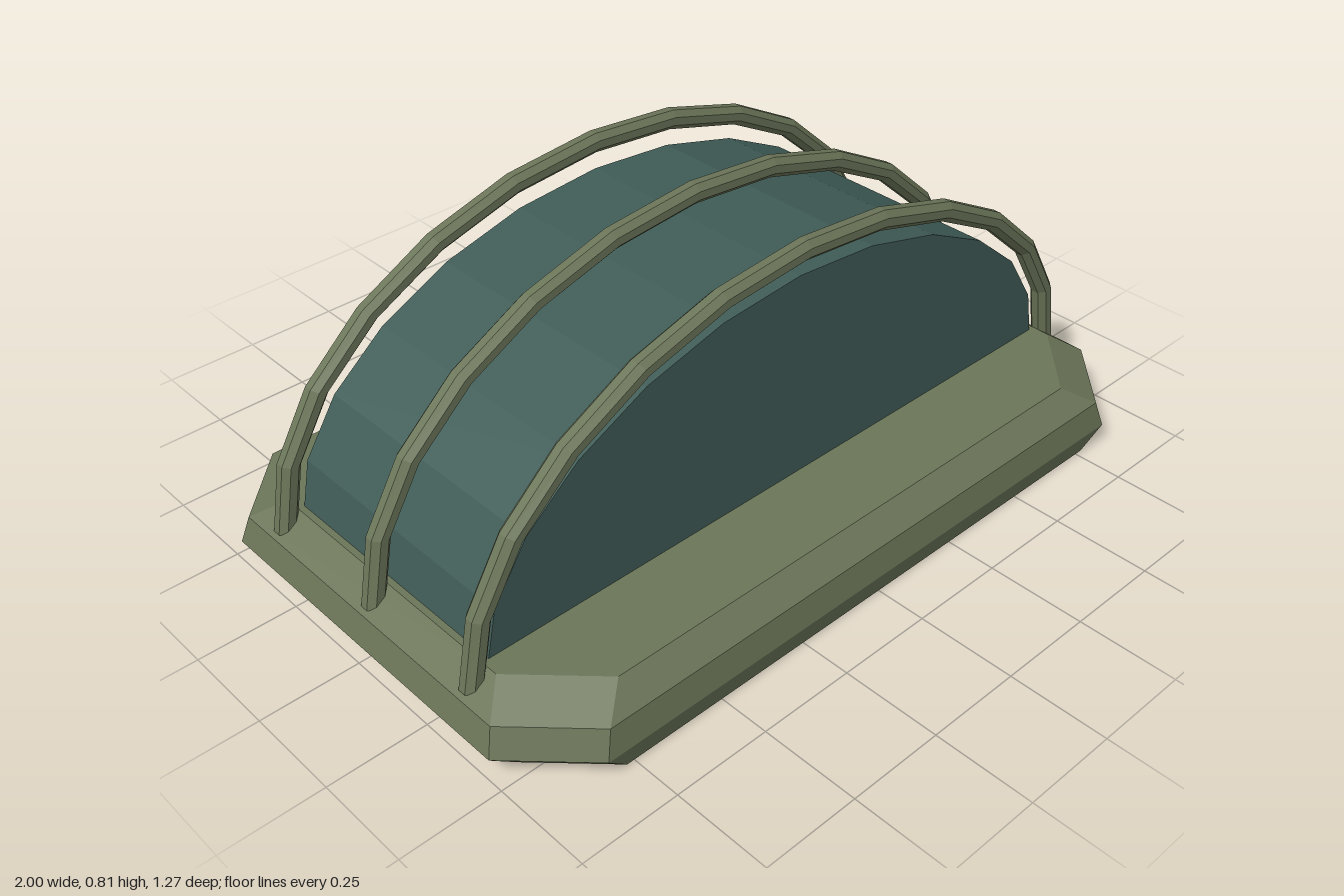
import * as THREE from 'three';

const olive = new THREE.MeshStandardMaterial({ color: 0x6b7558 });
olive.name = 'olive frame';
const teal = new THREE.MeshStandardMaterial({ color: 0x405c57 });
teal.name = 'teal canopy';

// Skins a list of equal-length rings (counter-clockwise against travel) and caps both ends, flat shaded.
function loft(rings) {
  const n = rings[0].length, last = rings.length - 1, pos = [];
  const tri = (a, b, c) => pos.push(...a, ...b, ...c);
  for (let i = 0; i < last; i++) {
    for (let j = 0; j < n; j++) {
      const k = (j + 1) % n;
      tri(rings[i][j], rings[i][k], rings[i + 1][k]);
      tri(rings[i][j], rings[i + 1][k], rings[i + 1][j]);
    }
  }
  for (let j = 1; j < n - 1; j++) {
    tri(rings[0][0], rings[0][j + 1], rings[0][j]);
    tri(rings[last][0], rings[last][j], rings[last][j + 1]);
  }
  const geo = new THREE.BufferGeometry();
  geo.setAttribute('position', new THREE.Float32BufferAttribute(pos, 3));
  geo.computeVertexNormals();
  return geo;
}

// Rectangle with cut corners at height y: half sizes X, Z and corner cut c
function baseRing([y, X, Z, c]) {
  return [
    [X, y, Z - c], [X, y, c - Z], [X - c, y, -Z], [c - X, y, -Z],
    [-X, y, c - Z], [-X, y, Z - c], [c - X, y, Z], [X - c, y, Z],
  ];
}

// Octagonal bar bent over a half ellipse in 15 degree steps
function ribGeometry() {
  const rings = [];
  for (let i = 0; i <= 12; i++) {
    const t = (i / 12 - 0.5) * Math.PI;
    const ring = [];
    for (let j = 0; j < 8; j++) {
      const a = (j + 0.5) * Math.PI / 4;
      const r = 0.027 * Math.cos(a);
      ring.push([(0.945 + r) * Math.sin(t), 0.14 + (0.65 + r) * Math.cos(t), 0.027 * Math.sin(a)]);
    }
    rings.push(ring);
  }
  return loft(rings);
}

// Faceted half-ellipse block
function canopyGeometry(depth) {
  const points = [];
  for (let i = 0; i <= 12; i++) {
    const t = i / 12 * Math.PI;
    points.push(new THREE.Vector2(0.9 * Math.cos(t), 0.15 + 0.57 * Math.sin(t)));
  }
  const geo = new THREE.ExtrudeGeometry(new THREE.Shape(points), { depth, bevelEnabled: false });
  return geo.translate(0, 0, -depth / 2);
}

export function createModel() {
  const model = new THREE.Group();
  model.name = 'ribbedSkylight';
  const add = (name, geo, mat, z = 0) => {
    const mesh = new THREE.Mesh(geo, mat);
    mesh.name = name;
    mesh.position.z = z;
    model.add(mesh);
  };

  // Bevelled base slab
  add('base', loft([
    [0, 0.93, 0.62, 0.16],
    [0.06, 1, 0.635, 0.17],
    [0.13, 0.98, 0.62, 0.17],
    [0.18, 0.91, 0.56, 0.175],
  ].map(baseRing)), olive);

  // Canopy and the three arches over it
  add('canopy', canopyGeometry(0.68), teal);
  const rib = ribGeometry();
  add('frontRib', rib, olive, 0.345);
  add('middleRib', rib, olive, 0);
  add('backRib', rib, olive, -0.345);

  return model;
}
